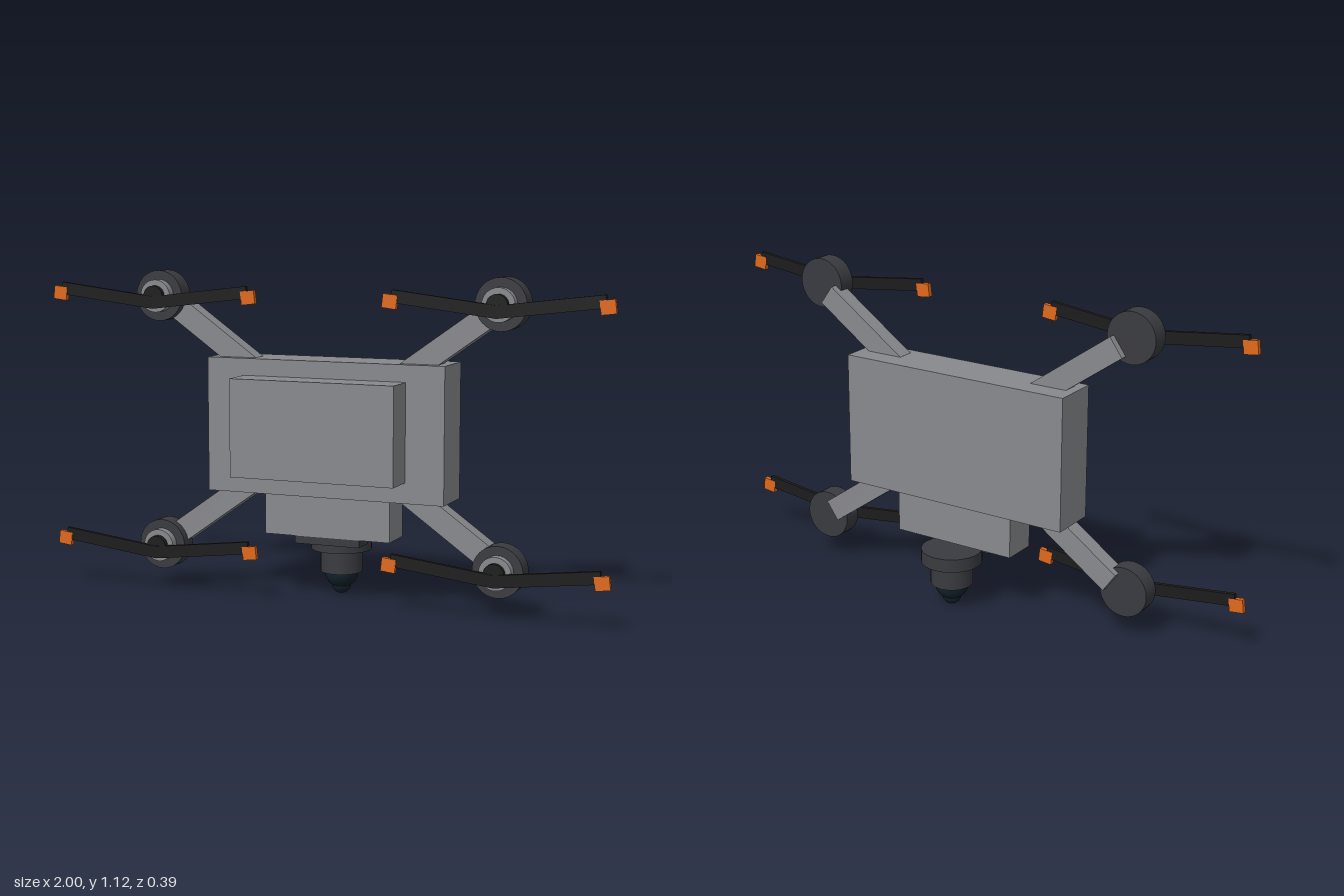
import * as THREE from 'three';

const mat = (color) => new THREE.MeshStandardMaterial({ color });

export function createModel() {
  const model = new THREE.Group();
  model.name = 'quadcopter';
  const shell = mat(0x88898d), dark = mat(0x3a3b40), black = mat(0x1c1c1c);
  const orange = mat(0xe0691c), glass = mat(0x14222c);

  const add = (parent, name, geo, material, x = 0, y = 0, z = 0) => {
    const mesh = new THREE.Mesh(geo, material);
    mesh.name = name;
    mesh.position.set(x, y, z);
    parent.add(mesh);
    return mesh;
  };
  const box = (w, h, d) => new THREE.BoxGeometry(w, h, d);
  const disc = (r, h) => new THREE.CylinderGeometry(r, r, h, 32);
  const discZ = (r, h) => disc(r, h).rotateX(Math.PI / 2);

  // Fuselage, raised pack on the front and block for the camera mount
  const midY = 0.594;
  add(model, 'body', box(0.855, 0.462, 0.167), shell, 0, midY, -0.002);
  add(model, 'frontPack', box(0.585, 0.334, 0.115), shell, 0, 0.6, 0.138);
  add(model, 'cameraBlock', box(0.455, 0.145, 0.125), shell, 0, 0.292, -0.012);
  add(model, 'mountPlate', box(0.235, 0.027, 0.08), dark, 0, 0.2065, 0.009);

  // Camera: flange, barrel and a two-step glass lens
  const camera = new THREE.Group();
  camera.name = 'camera';
  camera.position.z = -0.085;
  model.add(camera);
  add(camera, 'flange', disc(0.105, 0.047), dark, 0, 0.1835);
  add(camera, 'barrel', disc(0.073, 0.08), dark, 0, 0.12);
  add(camera, 'lens', new THREE.SphereGeometry(0.059, 32, 20), glass, 0, 0.08);
  add(camera, 'lensTip', new THREE.SphereGeometry(0.034, 24, 16), glass, 0, 0.035);

  // Four arms, each with a motor and a two-bladed propeller
  const armAngle = 0.616, bladeAngle = 0.12;
  for (const sx of [1, -1]) {
    for (const sy of [1, -1]) {
      const arm = add(model, 'arm', box(0.355, 0.078, 0.06), shell,
        sx * 0.428, midY + sy * 0.302, 0.02);
      arm.position.y += sy * 0.0;
      arm.rotation.z = sx * sy * armAngle;

      const rotor = new THREE.Group();
      rotor.name = 'rotor';
      rotor.position.set(sx * 0.613, midY + sy * 0.436, 0);
      model.add(rotor);
      add(rotor, 'motor', discZ(0.087, 0.065), dark, 0, 0, 0.0475);
      add(rotor, 'motorCap', discZ(0.056, 0.03), shell, 0, 0, 0.094);
      add(rotor, 'hub', discZ(0.036, 0.02), black, 0, 0, 0.117);

      // Blades rise in a shallow V on every rotor
      for (const side of [1, -1]) {
        const blade = add(rotor, 'blade', box(0.36, 0.042, 0.014), black,
          side * 0.176, 0, 0.1235);
        blade.rotation.z = side * bladeAngle;
        const tip = add(rotor, 'bladeTip', box(0.05, 0.046, 0.017), orange,
          side * 0.36, 0.004, 0.1245);
        tip.rotation.z = side * bladeAngle;
      }
    }
  }
  return model;
}
